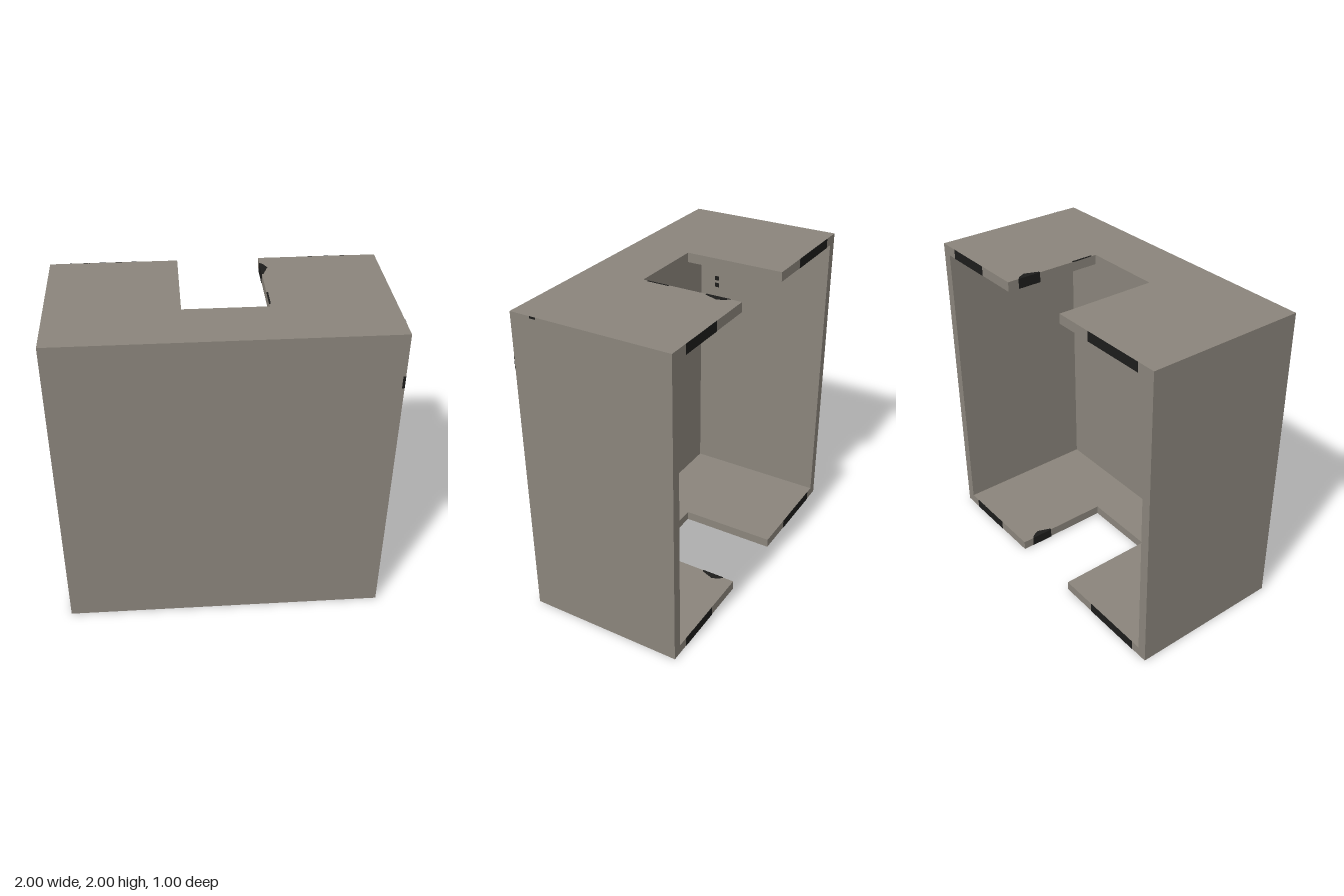
import * as THREE from 'three';

const T = 0.06; // wall thickness

export function createModel() {
  const model = new THREE.Group();
  model.name = 'openBackHousing';

  const grey = new THREE.MeshStandardMaterial({ color: 0x8a847b });
  grey.name = 'warm grey';
  const black = new THREE.MeshStandardMaterial({ color: 0x1c1c1b });
  black.name = 'black';

  const add = (name, geometry, material) => {
    const mesh = new THREE.Mesh(geometry, material);
    mesh.name = name;
    model.add(mesh);
    return mesh;
  };
  // box given by its lower and upper corners
  const box = (name, material, a, b) =>
    add(name, new THREE.BoxGeometry(b[0] - a[0], b[1] - a[1], b[2] - a[2]), material)
      .position.set((a[0] + b[0]) / 2, (a[1] + b[1]) / 2, (a[2] + b[2]) / 2);
  // upright slab from an outline of [x, z] points
  const slab = (name, material, points, y0, y1) => {
    const shape = new THREE.Shape(points.map(([x, z]) => new THREE.Vector2(x, -z)));
    const g = new THREE.ExtrudeGeometry(shape, { depth: y1 - y0, bevelEnabled: false });
    g.rotateX(-Math.PI / 2).translate(0, y0, 0);
    add(name, g, material);
  };

  // front panel and side walls
  box('frontPanel', grey, [-1 + T, T, 0.5 - T], [1 - T, 2 - T, 0.5]);
  box('leftWall', grey, [1 - T, T, -0.5], [1, 2 - T, 0.5]);
  box('rightWall', grey, [-1, T, -0.5], [-1 + T, 2 - T, 0.5]);

  // notched top and bottom plates with their dark marks
  const outline = [[-1, 0.5], [1, 0.5], [1, -0.5], [0.275, -0.5],
    [0.275, 0.13], [-0.225, 0.13], [-0.225, -0.5], [-1, -0.5]];
  const chip = [[0.273, -0.43], [0.273, -0.28], [0.285, -0.28], [0.317, -0.365], [0.295, -0.41]];
  for (const [side, y] of [['bottom', 0], ['top', 2 - T]]) {
    slab(side + 'Plate', grey, outline, y, y + T);
    slab(side + 'NotchMark', black, chip, y - 0.001, y + T + 0.001);
    box(side + 'LeftEdgeMark', black, [0.555, y, -0.502], [0.87, y + T, -0.499]);
    box(side + 'RightEdgeMark', black, [-0.88, y, -0.502], [-0.475, y + T, -0.499]);
  }

  // small stray marks
  box('topNotchStreak', black, [0.275, 1.998, -0.04], [0.285, 2.001, 0.1]);
  box('frontEdgeMark', black, [0.985, 1.655, 0.499], [1, 1.735, 0.502]);
  box('sideEdgeMark', black, [0.999, 1.988, 0.33], [1.001, 2, 0.37]);
  for (const y of [1.5, 1.55])
    box('innerWallSpeck', black, [-1 + T - 0.001, y - 0.015, 0.3], [-1 + T + 0.002, y + 0.015, 0.33]);

  return model;
}
